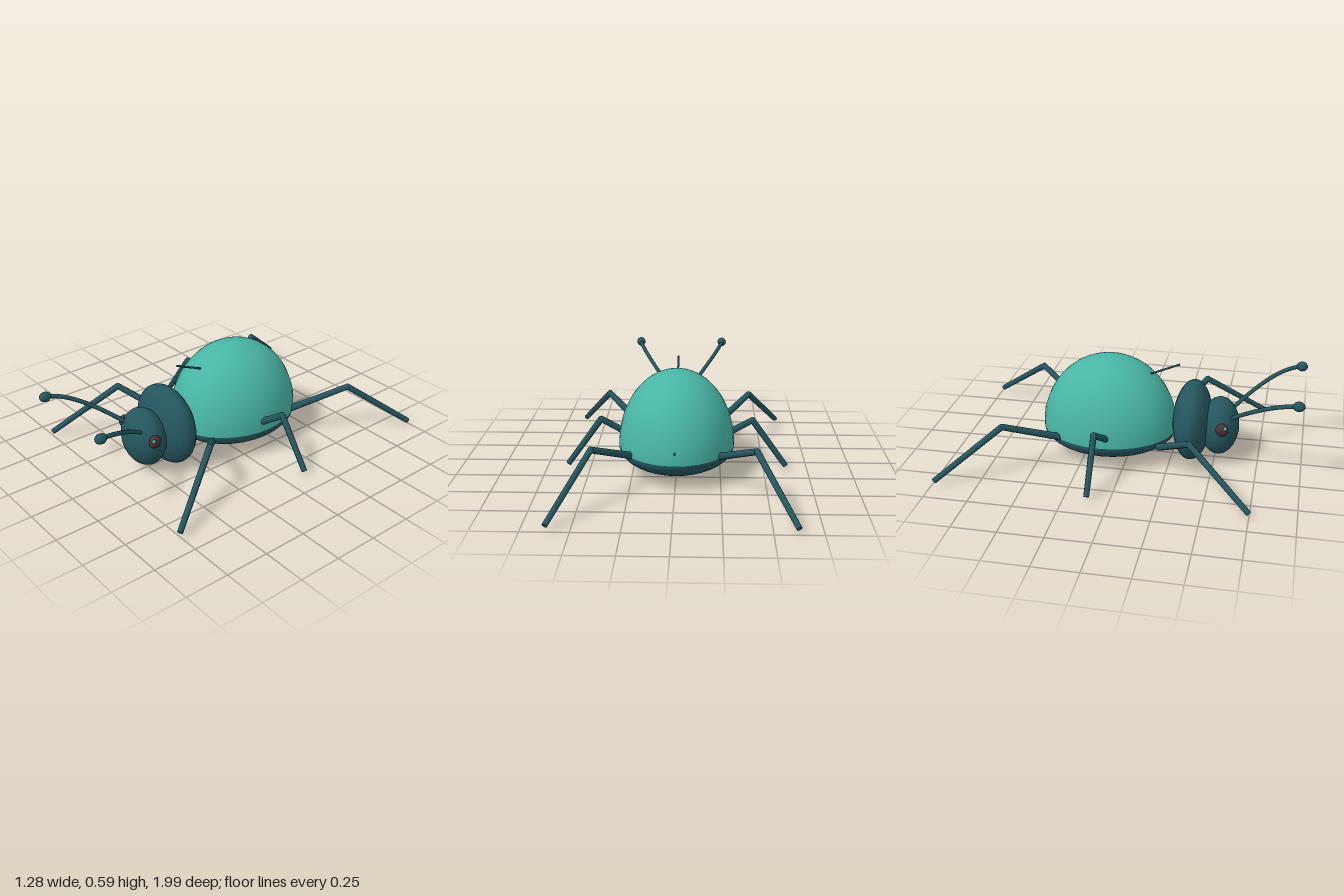
import * as THREE from 'three';

const material = (name, color) => {
  const m = new THREE.MeshStandardMaterial({ color });
  m.name = name;
  return m;
};

export function createModel() {
  const model = new THREE.Group();
  model.name = 'beetle';
  const shellTeal = material('shellTeal', 0x48b5a5);
  const bodyTeal = material('bodyTeal', 0x24565f);
  const eyeBrown = material('eyeBrown', 0x4a3434);

  const add = (name, geometry, mat, parent = model) => {
    const mesh = new THREE.Mesh(geometry, mat);
    mesh.name = name;
    parent.add(mesh);
    return mesh;
  };

  // Ellipsoid, optionally limited to a band of latitudes
  const ellipsoid = (name, mat, pos, radii, parent = model, segs = 24, from = 0, span = Math.PI) => {
    const mesh = add(name, new THREE.SphereGeometry(1, segs, Math.round(segs * 0.7), 0, Math.PI * 2, from, span), mat, parent);
    mesh.position.set(...pos);
    mesh.scale.set(...radii);
    return mesh;
  };

  // Straight rod between two points
  const rod = (name, a, b, rStart, rEnd, parent = model, sides = 8) => {
    const start = new THREE.Vector3(...a), end = new THREE.Vector3(...b);
    const dir = end.clone().sub(start);
    const mesh = add(name, new THREE.CylinderGeometry(rEnd, rStart, dir.length(), sides), bodyTeal, parent);
    mesh.position.copy(start).add(end).multiplyScalar(0.5);
    mesh.quaternion.setFromUnitVectors(new THREE.Vector3(0, 1, 0), dir.normalize());
    return mesh;
  };

  // Domed wing case over a shallow belly
  ellipsoid('wingCase', shellTeal, [0, 0.17, -0.12], [0.328, 0.428, 0.39], model, 32, 0, Math.PI / 2);
  ellipsoid('belly', bodyTeal, [0, 0.17, -0.12], [0.328, 0.14, 0.39], model, 32, Math.PI / 2, Math.PI / 2);

  // Straight spine running through the shell, showing at both ends
  rod('spine', [0, 0.235, -0.512], [0, 0.576, 0.283], 0.006, 0.006);

  // Thorax and head
  ellipsoid('thorax', bodyTeal, [0, 0.24, 0.365], [0.235, 0.232, 0.112]);
  ellipsoid('head', bodyTeal, [0, 0.218, 0.522], [0.155, 0.168, 0.112]);

  // Hip and knee/foot depth for each pair of legs
  const legs = [
    { name: 'frontLeg', hip: [0.2, 0.145, 0.2], kneeZ: 0.4, footZ: 0.75 },
    { name: 'middleLeg', hip: [0.22, 0.165, -0.05], kneeZ: -0.12, footZ: -0.12 },
    { name: 'hindLeg', hip: [0.24, 0.175, -0.36], kneeZ: -0.64, footZ: -0.985 },
  ];

  for (const s of [1, -1]) {
    const side = s > 0 ? 'left' : 'right';

    for (const { name, hip, kneeZ, footZ } of legs) {
      const leg = new THREE.Group();
      leg.name = `${side}_${name}`;
      model.add(leg);
      const knee = [s * 0.43, 0.307, kneeZ];
      rod('thigh', [s * hip[0], hip[1], hip[2]], knee, 0.021, 0.018, leg);
      ellipsoid('knee', bodyTeal, knee, [0.018, 0.018, 0.018], leg, 8);
      rod('shin', knee, [s * 0.625, 0.035, footZ], 0.018, 0.016, leg);
    }

    // Eye with a small glint
    ellipsoid(`${side}_eye`, eyeBrown, [s * 0.143, 0.26, 0.548], [0.027, 0.037, 0.036], model, 16);
    ellipsoid(`${side}_eyeGlint`, shellTeal, [s * 0.16, 0.276, 0.566], [0.01, 0.011, 0.011], model, 8);

    // Curved antenna ending in a knob
    const antenna = new THREE.Group();
    antenna.name = `${side}_antenna`;
    model.add(antenna);
    const path = new THREE.QuadraticBezierCurve3(
      new THREE.Vector3(s * 0.075, 0.305, 0.595),
      new THREE.Vector3(s * 0.255, 0.495, 0.815),
      new THREE.Vector3(s * 0.27, 0.505, 0.96));
    add('stalk', new THREE.TubeGeometry(path, 16, 0.012, 8), bodyTeal, antenna);
    ellipsoid('knob', bodyTeal, [s * 0.27, 0.505, 0.96], [0.028, 0.028, 0.034], antenna, 12);
  }

  return model;
}
